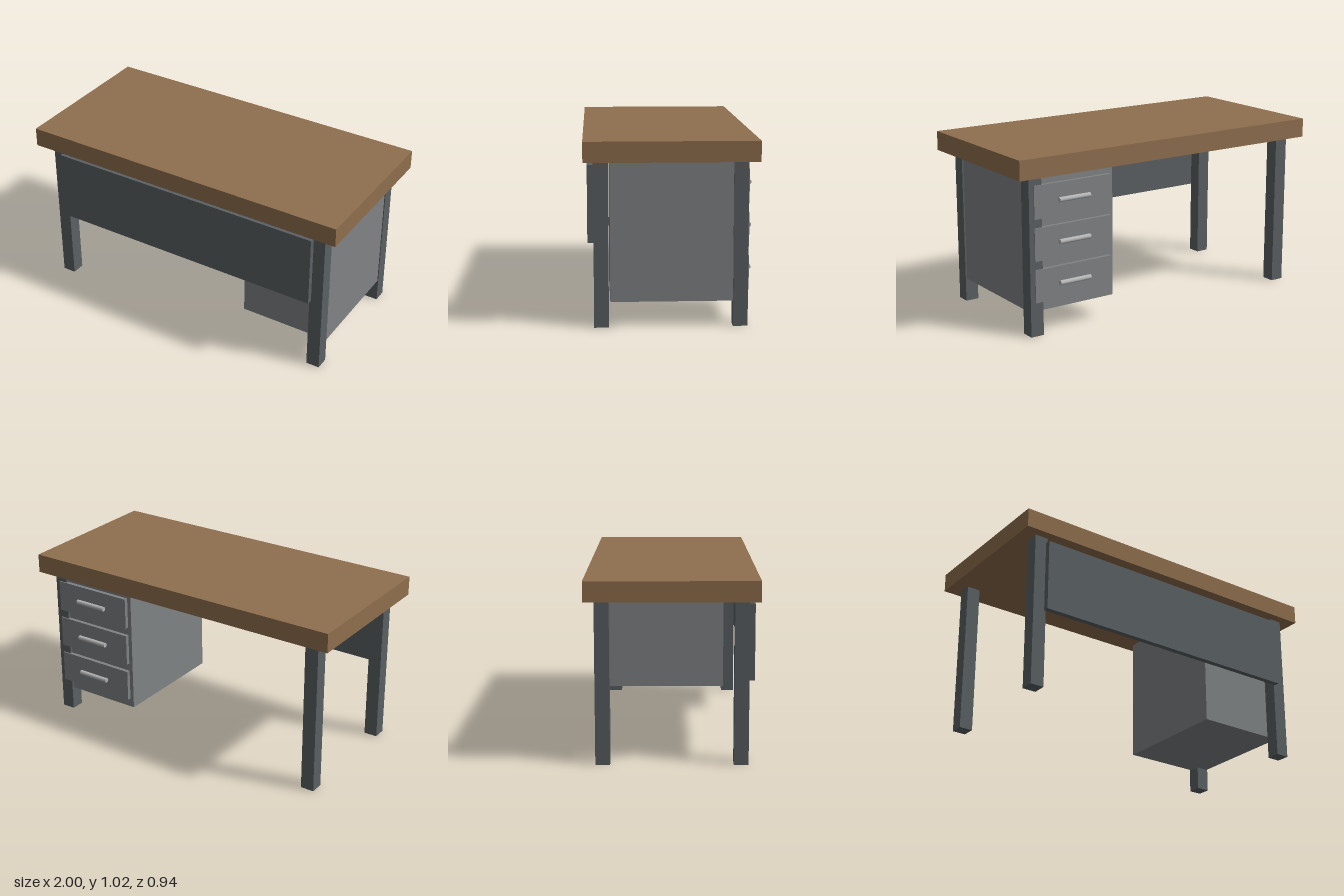
import * as THREE from 'three';

const paint = (color) => new THREE.MeshStandardMaterial({ color });

export function createModel() {
  const desk = new THREE.Group();
  desk.name = 'desk';
  const wood = paint(0x8f6f4e);
  const darkMetal = paint(0x5a6063);
  const greyMetal = paint(0x808385);
  const steel = paint(0xb4b4b4);

  // Box given by its lower and upper limits on each axis
  const box = (name, material, [x0, x1], [y0, y1], [z0, z1], parent = desk) => {
    const mesh = new THREE.Mesh(new THREE.BoxGeometry(x1 - x0, y1 - y0, z1 - z0), material);
    mesh.position.set((x0 + x1) / 2, (y0 + y1) / 2, (z0 + z1) / 2);
    mesh.name = name;
    parent.add(mesh);
    return mesh;
  };

  const topBottom = 0.908;
  box('tabletop', wood, [-1, 1], [topBottom, 1.02], [-0.47, 0.47]);

  // Four square legs
  for (const [sx, side] of [[1, 'Left'], [-1, 'Right']]) {
    for (const [sz, end] of [[1, 'front'], [-1, 'back']]) {
      const x = sx * 0.875, z = sz * 0.376;
      box(`${end}${side}Leg`, darkMetal, [x - 0.04, x + 0.04], [0, topBottom], [z - 0.04, z + 0.04]);
    }
  }

  // Modesty panel across the front legs
  box('modestyPanel', darkMetal, [-0.845, 0.845], [0.454, 0.876], [0.416, 0.449]);

  // Pedestal hung below the top, drawers opening to the back
  box('cabinet', greyMetal, [0.363, 0.91], [0.14, topBottom], [-0.4, 0.328]);

  const handleGeometry = new THREE.CylinderGeometry(0.014, 0.014, 0.2, 16).rotateZ(Math.PI / 2);
  for (let i = 0; i < 3; i++) {
    const y = 0.763 - i * 0.237;
    const drawer = new THREE.Group();
    drawer.name = `drawer${i + 1}`;
    box('drawerFront', greyMetal, [0.387, 0.886], [y - 0.094, y + 0.094], [-0.423, -0.399], drawer);
    const handle = new THREE.Mesh(handleGeometry, steel);
    handle.name = 'drawerHandle';
    handle.position.set(0.637, y, -0.437);
    drawer.add(handle);
    desk.add(drawer);
  }

  return desk;
}
